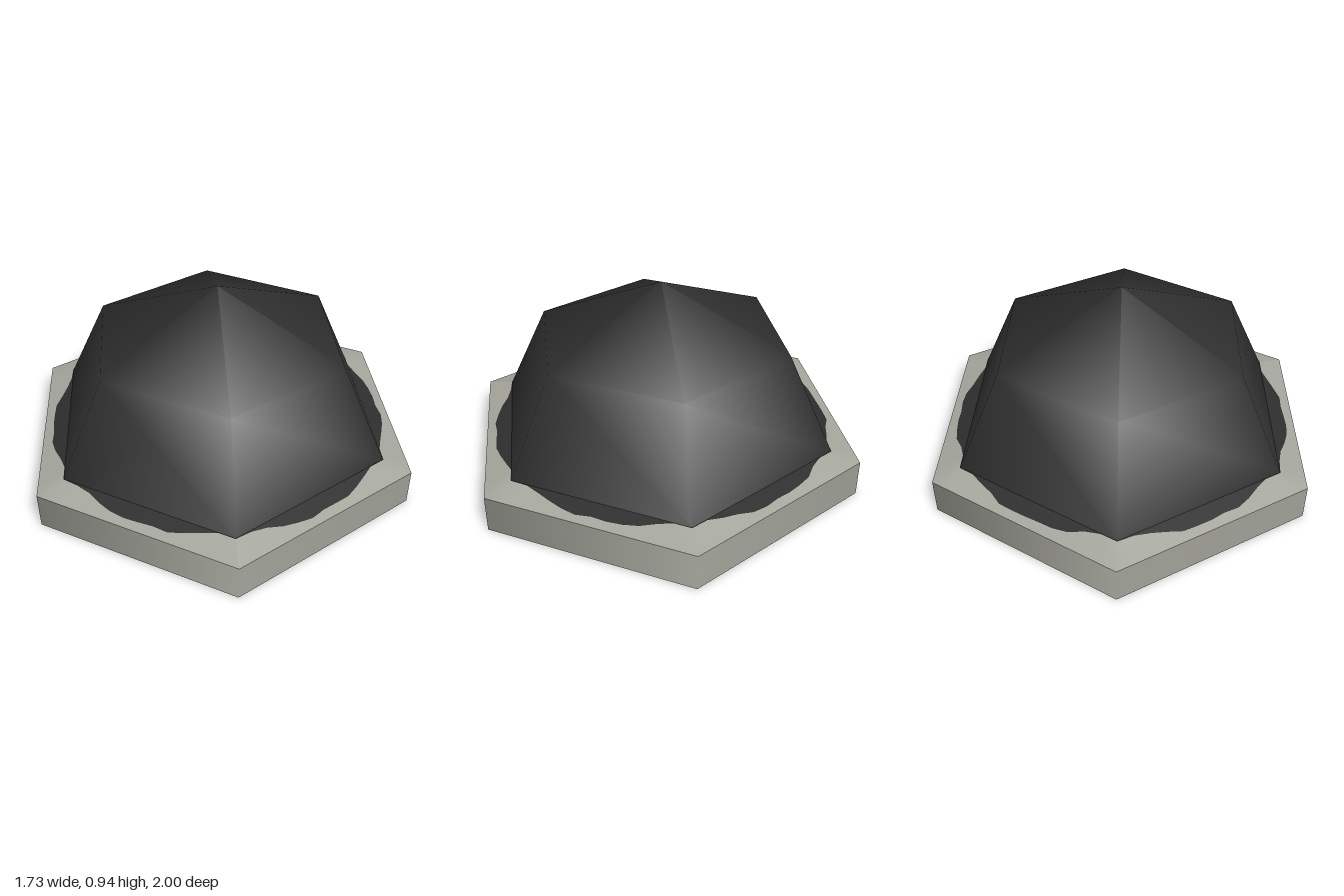
import * as THREE from 'three';

const SIDES = 6, STEPS = 72;
const RIM_Y = 0.18, DOME_Y = 0.21, DOME_R = 0.86;

// Radius of a unit hexagon (corners on the z axis) at angle a
const hexRadius = (a) => {
  const sector = (Math.PI * 2) / SIDES;
  const t = ((a % sector) + sector) % sector;
  return Math.cos(sector / 2) / Math.cos(t - sector / 2);
};

// Ring lying on the sloped shoulder between two radius functions
function shoulderStrip(inner, outer) {
  const pos = [], index = [];
  for (let i = 0; i <= STEPS; i++) {
    const a = (i / STEPS) * Math.PI * 2;
    for (const r of [inner(a), outer(a)]) {
      const k = r / hexRadius(a);
      const y = RIM_Y + ((1 - k) / (1 - DOME_R)) * (DOME_Y - RIM_Y);
      pos.push(r * Math.sin(a), y, r * Math.cos(a));
    }
    if (i < STEPS) {
      const b = i * 2;
      index.push(b, b + 1, b + 3, b, b + 3, b + 2);
    }
  }
  const g = new THREE.BufferGeometry();
  g.setAttribute('position', new THREE.Float32BufferAttribute(pos, 3));
  g.setIndex(index);
  g.computeVertexNormals();
  return g;
}

export function createModel() {
  const group = new THREE.Group();
  const grey = new THREE.MeshStandardMaterial({ color: 0xa6a79d, side: THREE.DoubleSide });
  grey.name = 'warm grey';
  const black = new THREE.MeshStandardMaterial({ color: 0x2e2e2e, side: THREE.DoubleSide });
  black.name = 'charcoal';

  const add = (name, geometry, material) => {
    const mesh = new THREE.Mesh(geometry, material);
    mesh.name = name;
    group.add(mesh);
    return mesh;
  };

  // Open hexagonal rim wall
  add('rimWall', new THREE.CylinderGeometry(1, 1, RIM_Y, SIDES, 1, true), grey).position.y = RIM_Y / 2;

  // Shoulder, split along a rough, nearly round colour edge
  const domeEdge = (a) => DOME_R * hexRadius(a);
  const colourEdge = (a) =>
    Math.max(domeEdge(a) + 0.002, 0.825 + 0.006 * Math.sin(a * 18 + 1) + 0.003 * Math.sin(a * 31));
  add('shoulderDark', shoulderStrip(domeEdge, colourEdge), black);
  add('shoulderLight', shoulderStrip(colourEdge, hexRadius), grey);

  // Six-sided dome shell, open below
  const profile = [[DOME_R, DOME_Y], [0.63, 0.675], [0, 0.94]].map(([r, y]) => new THREE.Vector2(r, y));
  add('dome', new THREE.LatheGeometry(profile, SIDES), black);

  return group;
}
